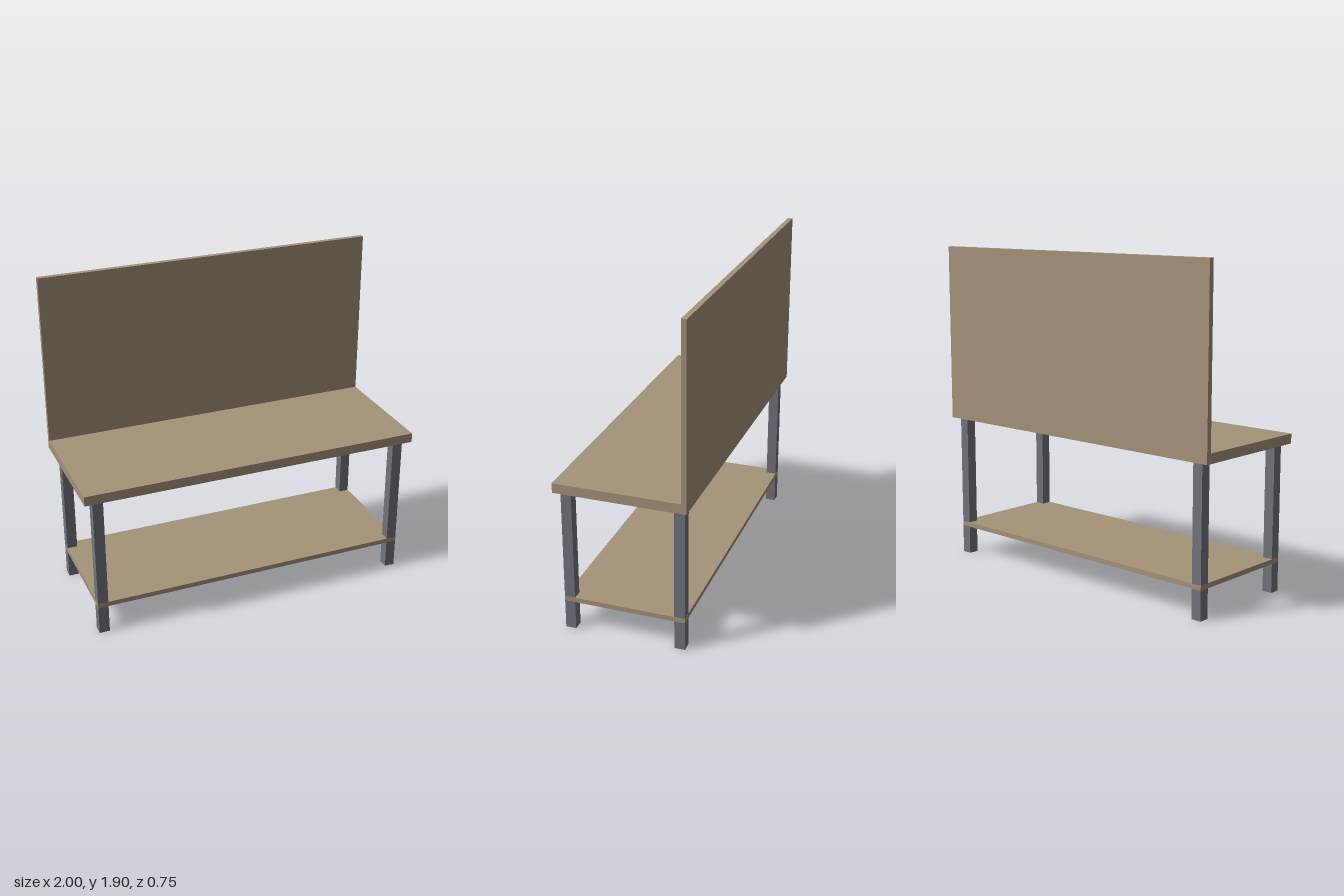
import * as THREE from 'three';

export function createModel() {
  const group = new THREE.Group();
  const wood = new THREE.MeshStandardMaterial({ color: 0xa6937a });
  wood.name = 'wood';
  const steel = new THREE.MeshStandardMaterial({ color: 0x70757d });
  steel.name = 'steel grey';

  // Box given by its size, base height and centre on the ground plane
  function addBox(name, material, [w, h, d], x, base, z) {
    const mesh = new THREE.Mesh(new THREE.BoxGeometry(w, h, d), material);
    mesh.name = name;
    mesh.position.set(x, base + h / 2, z);
    group.add(mesh);
  }

  // Worktop with the back panel standing on its rear edge
  addBox('worktop', wood, [2, 0.056, 0.748], 0, 0.854, 0);
  addBox('backPanel', wood, [2, 0.992, 0.03], 0, 0.91, -0.359);

  // Lower shelf, a hair proud of the legs so its edge shows all round
  addBox('lowerShelf', wood, [1.901, 0.028, 0.699], 0, 0.169, 0);

  // Four square legs
  for (const [side, x] of [['Left', 0.92], ['Right', -0.92]]) {
    for (const [end, z] of [['front', 0.319], ['back', -0.319]]) {
      addBox(`${end}${side}Leg`, steel, [0.06, 0.854, 0.06], x, 0, z);
    }
  }

  return group;
}
